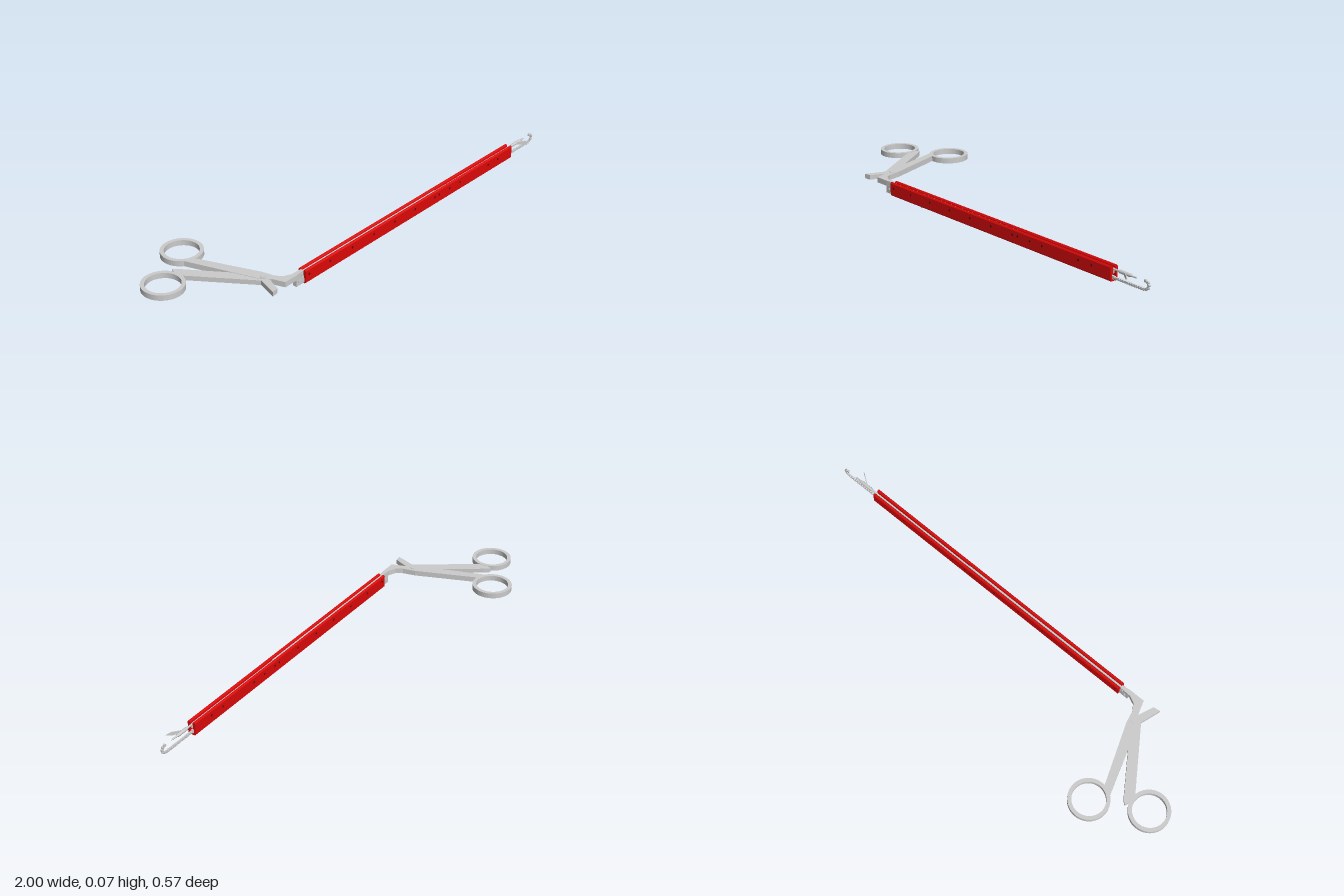
import * as THREE from 'three';

const AXIS_Z = 0.246; // centre line of the long shaft
const steel = new THREE.MeshStandardMaterial({ color: 0xcccccc, side: THREE.DoubleSide });
const red = new THREE.MeshStandardMaterial({ color: 0xdd0808 });
const dark = new THREE.MeshStandardMaterial({ color: 0x5a0808 });

const toShape = (pts) => new THREE.Shape(pts.map(([a, b]) => new THREE.Vector2(a, b)));

function add(parent, name, geometry, material, x = 0, y = 0, z = 0) {
  const mesh = new THREE.Mesh(geometry, material);
  mesh.name = name;
  mesh.position.set(x, y, z);
  parent.add(mesh);
  return mesh;
}

const box = (parent, name, x0, x1, y0, y1, width, z = AXIS_Z, material = steel) =>
  add(parent, name, new THREE.BoxGeometry(x1 - x0, y1 - y0, width), material, (x0 + x1) / 2, (y0 + y1) / 2, z);

// Horizontal plate from an outline drawn in x and -z
function plate(parent, name, shape, y0, height) {
  const g = new THREE.ExtrudeGeometry(shape, { depth: height, bevelEnabled: false, curveSegments: 32 });
  g.rotateX(-Math.PI / 2);
  return add(parent, name, g, steel, 0, y0, 0);
}

// Cylinder lying across the shaft
function pin(parent, name, x, y, radius, length, material = steel) {
  const g = new THREE.CylinderGeometry(radius, radius, length, 12);
  g.rotateX(Math.PI / 2);
  return add(parent, name, g, material, x, y, AXIS_Z);
}

function buildHousing() {
  const group = new THREE.Group();
  group.name = 'housing';
  // Slotted section with a wider channel below the slot
  const half = [[0, 0.009], [0.013, 0.009], [0.018, 0.014], [0.018, 0.063], [0.014, 0.068],
    [0.01, 0.068], [0.006, 0.063], [0.006, 0.037], [0.010, 0.033], [0.010, 0.014], [0, 0.014]];
  const section = toShape([...half.slice(0, -1), half[10],
    ...half.slice(1, 10).reverse().map(([u, v]) => [-u, v])]);
  section.curves.length = 0;
  const outer = half.slice(0, 6), inner = half.slice(6);
  const right = [...outer, ...inner];
  const left = right.slice(1, -1).reverse().map(([u, v]) => [-u, v]);
  // Trace the outside up one side, down through the channel, and back round the other side
  const outline = toShape([...right, ...left]);
  const g = new THREE.ExtrudeGeometry(outline, { depth: 1.33, bevelEnabled: false });
  g.rotateY(Math.PI / 2);
  add(group, 'slottedShell', g, red, -0.51, 0, AXIS_Z);

  // Rivet heads along both sides
  for (const x of [-0.49, -0.37, -0.24, -0.11, 0.02, 0.15, 0.28, 0.31, 0.38, 0.45, 0.65, 0.72])
    pin(group, 'rivet', x, 0.045, 0.005, 0.0364, dark);
  return group;
}

function buildDrive() {
  const group = new THREE.Group();
  group.name = 'drive';
  box(group, 'slideBarRear', -0.53, 0.3, 0.038, 0.061, 0.007);
  box(group, 'slideBarFront', 0.3, 0.82, 0.038, 0.058, 0.006);
  box(group, 'channelBar', -0.55, 0.82, 0.016, 0.028, 0.010);
  box(group, 'rearBlock', -0.552, -0.505, 0.012, 0.042, 0.018);
  pin(group, 'rearBlockPin', -0.535, 0.03, 0.006, 0.024);
  pin(group, 'linkPin', -0.52, 0.053, 0.006, 0.022);
  // Small catches under the housing
  box(group, 'lowerCatch', -0.44, -0.39, 0.003, 0.012, 0.006);
  box(group, 'lowerStop', -0.32, -0.312, 0, 0.012, 0.006);
  return group;
}

function buildHandle() {
  const group = new THREE.Group();
  group.name = 'handle';
  for (const [x, z, name] of [[-0.915, -0.082, 'thumbRing'], [-0.705, -0.2, 'fingerRing']]) {
    const ring = new THREE.Shape().absarc(x, -z, 0.085, 0, Math.PI * 2);
    ring.holes.push(new THREE.Path().absarc(x, -z, 0.069, 0, Math.PI * 2, true));
    plate(group, name, ring, 0.042, 0.023);
  }
  const arm = (name, pts, y0, h) => plate(group, name, toShape(pts.map(([x, z]) => [x, -z])), y0, h);
  // Fixed arm turns forward into the shaft
  arm('fixedArm', [[-0.758, -0.133], [-0.718, -0.12], [-0.62, 0.14], [-0.608, 0.195], [-0.59, 0.223],
    [-0.56, 0.237], [-0.51, 0.239], [-0.51, 0.253], [-0.55, 0.257], [-0.615, 0.257],
    [-0.632, 0.205], [-0.66, 0.165]], 0.042, 0.023);
  // Moving arm crosses the pivot and ends in a short tail
  arm('movingArm', [[-0.842, -0.09], [-0.825, -0.127], [-0.805, -0.105], [-0.64, 0.14], [-0.63, 0.18],
    [-0.663, 0.262], [-0.692, 0.266], [-0.664, 0.18], [-0.836, -0.073]], 0.0435, 0.02);
  add(group, 'pivot', new THREE.CylinderGeometry(0.01, 0.01, 0.027, 20), steel, -0.64, 0.0535, 0.165);
  return group;
}

function buildTip() {
  const group = new THREE.Group();
  group.name = 'tip';
  // Bead-link chain that runs out and curls up at the end
  const path = new THREE.CatmullRomCurve3([[0.8, 0.022], [0.88, 0.022], [0.95, 0.022], [0.98, 0.024],
    [0.994, 0.036], [0.991, 0.05], [0.978, 0.056]].map(([x, y]) => new THREE.Vector3(x, y, AXIS_Z)));
  const links = 20;
  const points = path.getSpacedPoints(links);
  points.forEach((p, i) => {
    pin(group, 'chainRoller', p.x, p.y, 0.0055, 0.008);
    if (i === links) return;
    const q = points[i + 1];
    const offset = i % 2 ? 0.003 : 0.0045;
    for (const side of [-1, 1]) {
      const link = add(group, 'chainLink', new THREE.BoxGeometry(p.distanceTo(q), 0.005, 0.0012), steel,
        (p.x + q.x) / 2, (p.y + q.y) / 2, AXIS_Z + side * offset);
      link.rotation.z = Math.atan2(q.y - p.y, q.x - p.x);
    }
  });

  // Upper needle with a thicker collar
  const needle = new THREE.LatheGeometry([[0, 0], [0.004, 0], [0.004, 0.04], [0.007, 0.05], [0.007, 0.1],
    [0.004, 0.11], [0.003, 0.13], [0, 0.14]].map(([r, h]) => new THREE.Vector2(r, h)), 16);
  needle.rotateZ(-Math.PI / 2);
  add(group, 'needle', needle, steel, 0.8, 0.054, AXIS_Z);

  // Pointed latch swung out to the front
  const blade = toShape([[0, -0.005], [0.045, -0.008], [0.068, 0], [0.045, 0.008], [0, 0.005]]);
  const g = new THREE.ExtrudeGeometry(blade, { depth: 0.003, bevelEnabled: false });
  const latch = add(group, 'latch', g, steel, 0.87, 0.054, AXIS_Z - 0.001);
  latch.rotation.y = -0.6;
  return group;
}

export function createModel() {
  const model = new THREE.Group();
  model.name = 'longReachForceps';
  model.add(buildHousing(), buildDrive(), buildHandle(), buildTip());
  return model;
}
